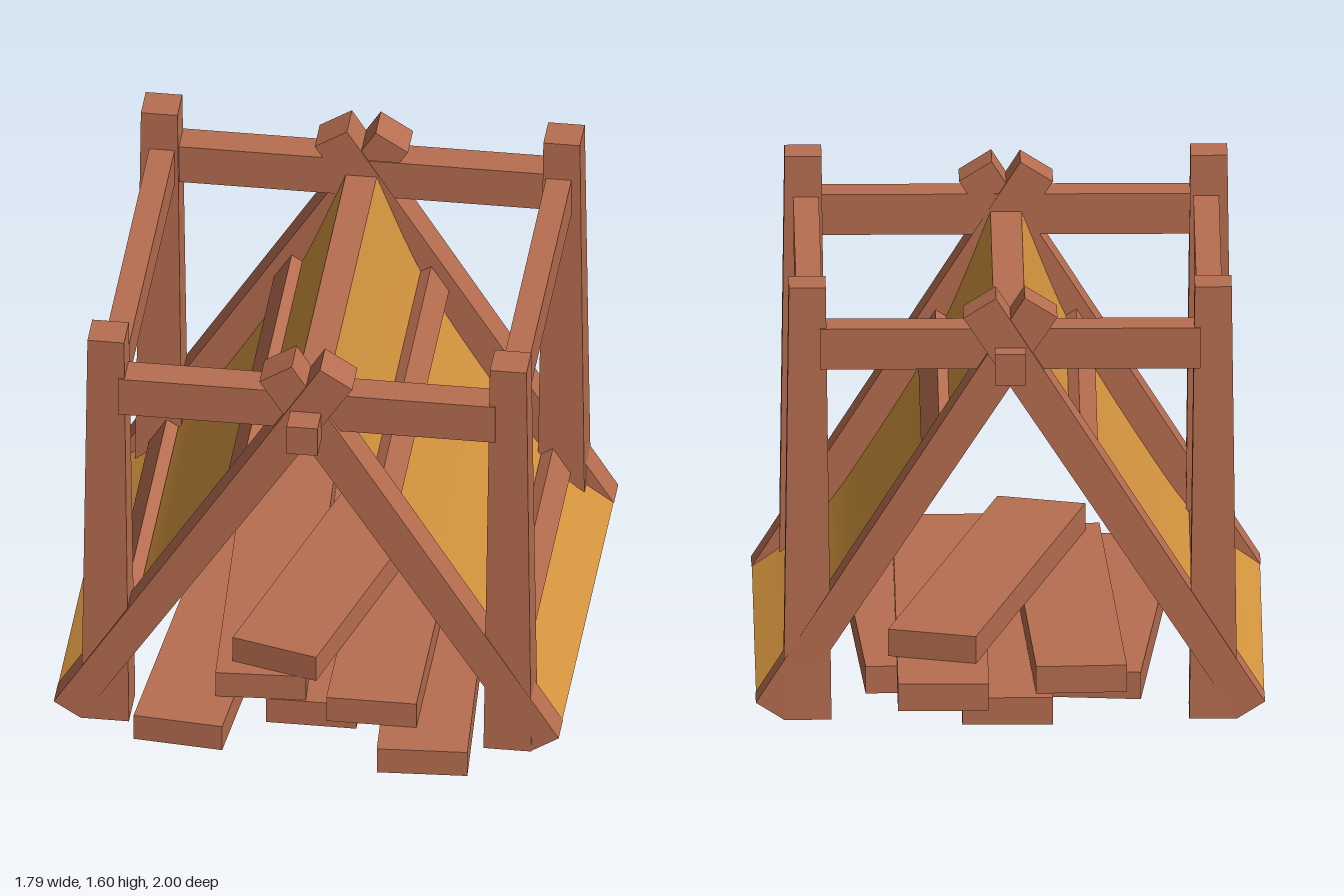
import * as THREE from 'three';

const wood = new THREE.MeshStandardMaterial({ color: 0xb86e50 });
wood.name = 'wood';
const canvas = new THREE.MeshStandardMaterial({ color: 0xd4943e, side: THREE.DoubleSide });
canvas.name = 'canvas';

// Roof slope on the +x side: foot point, up-slope direction and inward normal
const foot = new THREE.Vector2(0.895, 0.065);
const up = new THREE.Vector2(-0.84, 1.32).normalize();
const inward = new THREE.Vector2(-up.y, up.x);
const slopeAngle = Math.atan2(-up.x, up.y);

export function createModel() {
  const model = new THREE.Group();
  model.name = 'tentFrame';

  const add = (name, geometry, x, y, z, material = wood) => {
    const mesh = new THREE.Mesh(geometry, material);
    mesh.name = name;
    mesh.position.set(x, y, z);
    model.add(mesh);
    return mesh;
  };
  const box = (name, w, h, d, x, y, z) => add(name, new THREE.BoxGeometry(w, h, d), x, y, z);

  // Square timber whose width changes from bottom to top
  const taperedTimber = (bottom, top, height) => {
    const g = new THREE.BoxGeometry(1, height, 1);
    const p = g.attributes.position;
    for (let i = 0; i < p.count; i++) {
      const w = p.getY(i) > 0 ? top : bottom;
      p.setX(i, p.getX(i) * w);
      p.setZ(i, p.getZ(i) * w);
    }
    g.computeVertexNormals();
    return g;
  };

  // Corner posts, crossed end beams and top rails
  for (const sz of [1, -1]) {
    for (const sx of [1, -1]) {
      add('cornerPost', taperedTimber(0.17, 0.13, 1.6), sx * 0.715, 0.8, sz * 0.715);
      const beam = add('crossedBeam', taperedTimber(0.115, 0.136, 1.78),
        sx * 0.37, 0.7825, sz * (0.742 - sx * 0.003));
      beam.rotation.z = sx * Math.atan2(0.956, 1.501);
    }
    box('endRail', 1.34, 0.15, 0.115, 0, 1.375, sz * 0.732);
  }
  for (const sx of [1, -1]) box('sideRail', 0.09, 0.145, 1.34, sx * 0.705, 1.378, 0);

  // Ridge pole
  box('ridgePole', 0.11, 0.115, 1.79, 0, 1.3275, 0.015);

  // Sagging cover sheets: points are (distance up the slope, sag depth)
  const sag = new THREE.SplineCurve([
    [0, 0], [0.26, 0.09], [0.6, 0.105], [1.1, 0.085], [1.565, 0],
  ].map(([s, d]) => new THREE.Vector2(s, d)));
  for (const sx of [1, -1]) {
    const g = new THREE.PlaneGeometry(1, 1.38, 20, 1);
    const p = g.attributes.position;
    for (let i = 0; i < p.count; i++) {
      const c = sag.getPoint(p.getX(i) + 0.5);
      const q = foot.clone().addScaledVector(up, c.x).addScaledVector(inward, c.y);
      // The row axis runs opposite on the mirrored side so both fronts face outward
      p.setXYZ(i, sx * q.x, q.y, -sx * p.getY(i));
    }
    g.computeVertexNormals();
    add('coverSheet', g, 0, 0, 0, canvas);

    // Purlins lying on the sheet
    for (const [x, y] of [[0.28, 0.97], [0.718, 0.26]]) {
      const purlin = box('purlin', 0.05, 0.118, 1.4,
        sx * (x + inward.x * 0.025), y + inward.y * 0.025, 0);
      purlin.rotation.z = sx * slopeAngle;
    }
  }

  // Stacked planks: front edge centre x, z, base height, length, turn
  const planks = [
    [-0.44, 0.92, 0, 1.5, -0.092],
    [0.01, 0.74, 0, 1.6, 0],
    [0.437, 0.99, 0, 1.5, 0.06],
    [0.238, 0.85, 0.1, 1.85, 0],
    [-0.17, 0.74, 0.1, 1.55, 0.052],
    [-0.125, 0.71, 0.2, 1.5, -0.27],
  ];
  for (const [x, z, y, length, turn] of planks) {
    const plank = box('plank', 0.32, 0.1, length,
      x - Math.sin(turn) * length / 2, y + 0.05, z - Math.cos(turn) * length / 2);
    plank.rotation.y = turn;
  }

  return model;
}
